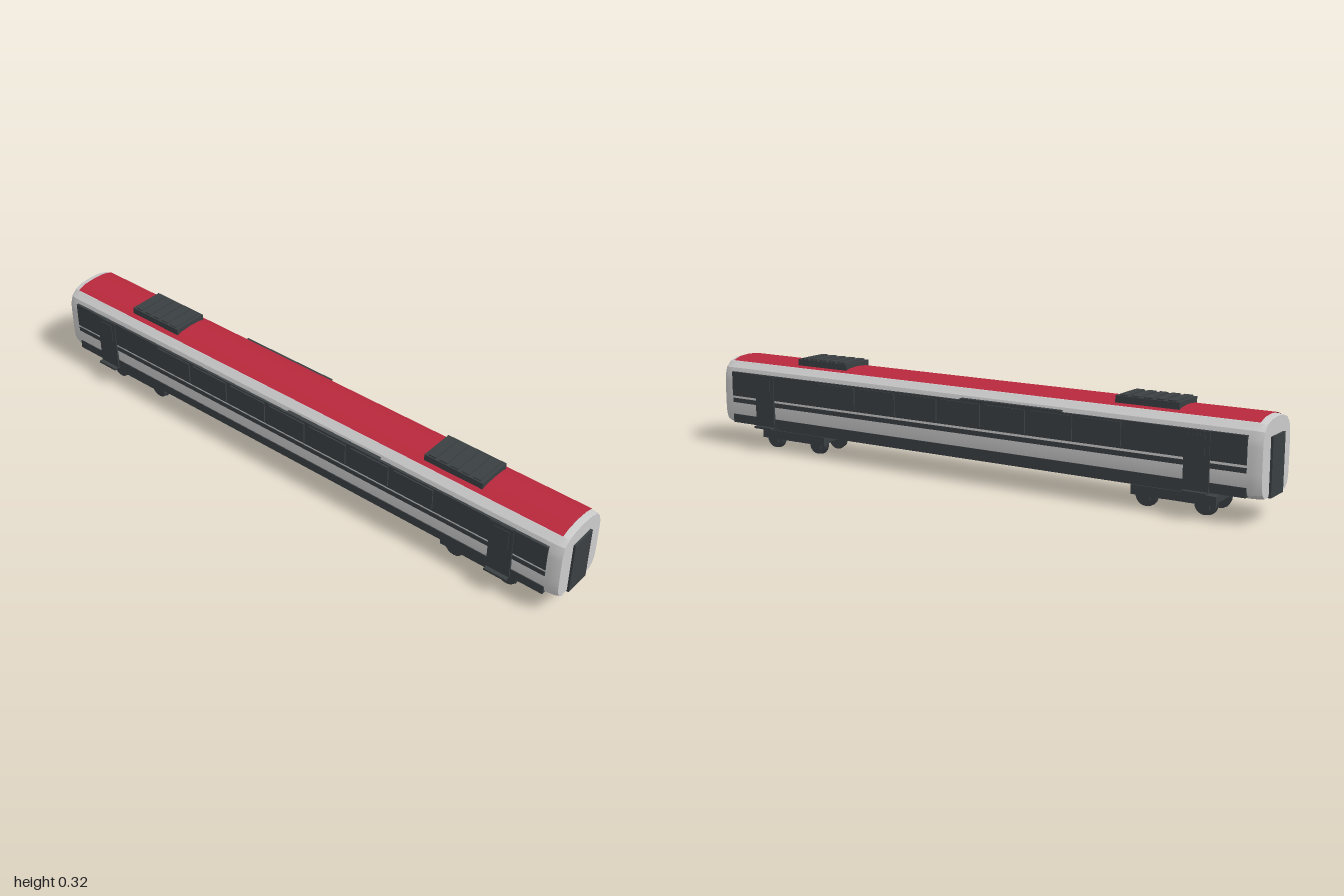
import * as THREE from 'three';
import { toCreasedNormals } from 'three/addons/utils/BufferGeometryUtils.js';

const light = new THREE.MeshStandardMaterial({ color: 0xcccccc });
const dark = new THREE.MeshStandardMaterial({ color: 0x3a3f42 });
const red = new THREE.MeshStandardMaterial({ color: 0xb8283c, side: THREE.DoubleSide });

// Skin cross-sections (arrays of [x, y, z]); optionally close the ring and cap the ends
function loft(sections, closed) {
  const n = sections[0].length, pos = sections.flat(2), idx = [];
  const count = closed ? n : n - 1;
  for (let s = 0; s < sections.length - 1; s++) {
    for (let j = 0; j < count; j++) {
      const k = (j + 1) % n, a = s * n, b = a + n;
      idx.push(a + j, b + j, b + k, a + j, b + k, a + k);
    }
  }
  if (closed) {
    const last = (sections.length - 1) * n, c = sections.length * n;
    pos.push(sections[0][0][0], 0.185, 0, sections.at(-1)[0][0], 0.185, 0);
    for (let j = 0; j < n; j++) {
      const k = (j + 1) % n;
      idx.push(c, j, k, c + 1, last + k, last + j);
    }
  }
  const g = new THREE.BufferGeometry();
  g.setAttribute('position', new THREE.Float32BufferAttribute(pos, 3));
  g.setIndex(idx);
  return toCreasedNormals(g, 0.45);
}

function add(parent, name, geometry, material) {
  const m = new THREE.Mesh(geometry, material);
  m.name = name;
  parent.add(m);
  return m;
}

// Box given by its limits on each axis
function box(parent, name, [x0, x1], [y0, y1], [z0, z1], material = dark) {
  const m = add(parent, name, new THREE.BoxGeometry(x1 - x0, y1 - y0, z1 - z0), material);
  m.position.set((x0 + x1) / 2, (y0 + y1) / 2, (z0 + z1) / 2);
  return m;
}

function group(parent, name) {
  const g = new THREE.Group();
  g.name = name;
  parent.add(g);
  return g;
}

// Half profile of the car body, [z, y] from the floor to the ridge
const half = [[0.08, 0.077], [0.097, 0.09], [0.104, 0.112], [0.106, 0.15], [0.106, 0.23],
  [0.104, 0.25], [0.096, 0.274], [0.076, 0.293], [0.044, 0.303], [0, 0.306]];
const mirror = (pts) => [...pts, ...pts.slice(0, -1).reverse().map(([z, y]) => [-z, y])];

function addSide(parent, sign) {
  const side = group(parent, sign > 0 ? 'frontSide' : 'backSide');
  if (sign < 0) side.rotation.y = Math.PI;

  // Long coloured bands
  box(side, 'windowBand', [-0.953, 0.95], [0.177, 0.261], [0.09, 0.109]);
  box(side, 'waistStripe', [-0.953, 0.95], [0.154, 0.169], [0.1, 0.108]);
  box(side, 'skirtStripe', [-0.953, 0.95], [0.083, 0.112], [0.085, 0.107]);

  // Raised windows
  for (let i = -3; i <= 3; i++) {
    const x = i * 0.163;
    box(side, 'window', [x - 0.072, x + 0.072], [0.183, 0.256], [0.105, 0.1135]);
  }

  // Entrance doors with their steps
  for (const x of [-0.805, 0.8]) {
    box(side, 'door', [x - 0.04, x + 0.04], [0.08, 0.259], [0.09, 0.1115]);
    box(side, 'doorWindow', [x - 0.026, x + 0.026], [0.183, 0.248], [0.105, 0.1135]);
    box(side, 'doorStep', [x - 0.038, x + 0.038], [0.077, 0.084], [0.112, 0.126]);
  }

  // Slim rail above the windows
  box(side, 'upperRail', [0, 0.36], [0.261, 0.267], [0.095, 0.113]);
}

function addBogie(parent, x) {
  const bogie = group(parent, 'bogie');
  bogie.position.x = x;
  box(bogie, 'bogieFrame', [-0.135, 0.135], [0.046, 0.066], [-0.07, 0.07]);
  box(bogie, 'bolster', [-0.04, 0.04], [0.06, 0.08], [-0.072, 0.072]);
  for (const s of [1, -1]) {
    const beam = box(bogie, 'sideBeam', [-0.135, 0.135], [0.037, 0.066], [0.066, 0.078]);
    beam.position.z *= s;
    for (const wx of [-0.094, 0.094]) {
      // Wheel tread and its inner flange
      const wheel = add(bogie, 'wheel', new THREE.CylinderGeometry(0.033, 0.033, 0.016, 20), dark);
      wheel.rotation.x = Math.PI / 2;
      wheel.position.set(wx, 0.036, s * 0.054);
      const flange = add(bogie, 'wheelFlange', new THREE.CylinderGeometry(0.036, 0.036, 0.004, 20), dark);
      flange.rotation.x = Math.PI / 2;
      flange.position.set(wx, 0.036, s * 0.047);
      const axleBox = box(bogie, 'axleBox', [wx - 0.016, wx + 0.016], [0.022, 0.045], [0.058, 0.067]);
      axleBox.position.z *= s;
    }
  }
  for (const wx of [-0.094, 0.094]) {
    const axle = add(bogie, 'axle', new THREE.CylinderGeometry(0.007, 0.007, 0.1, 10), dark);
    axle.rotation.x = Math.PI / 2;
    axle.position.set(wx, 0.036, 0);
  }
}

export function createModel() {
  const car = new THREE.Group();
  car.name = 'railwayCarriage';

  // Body shell, narrowed slightly at both ends
  const ring = mirror(half);
  const section = ([x, sz, sy]) => ring.map(([z, y]) => [x, 0.185 + (y - 0.185) * sy, z * sz]);
  const stations = [[-0.993, 0.94, 0.975], [-0.982, 0.975, 0.99], [-0.96, 1, 1],
    [0.96, 1, 1], [0.982, 0.975, 0.99], [0.993, 0.94, 0.975]];
  add(car, 'body', loft(stations.map(section), true), light);

  // Roof skin over the crown
  const crown = mirror(half.slice(-3));
  const roof = [-0.973, 0.973].map((x) => crown.map(([z, y]) => [x, y + 0.0018, z]));
  add(car, 'roof', loft(roof, false), red);

  // End doors
  box(car, 'endDoor', [0.985, 1], [0.076, 0.252], [-0.045, 0.045]);
  box(car, 'endDoor', [-1, -0.985], [0.076, 0.252], [-0.045, 0.045]);

  addSide(car, 1);
  addSide(car, -1);

  // Roof units with raised slats
  for (const x of [-0.617, 0.591]) {
    const unit = group(car, 'roofUnit');
    unit.position.x = x;
    box(unit, 'unitBase', [-0.103, 0.103], [0.3, 0.321], [-0.06, 0.06]);
    for (let i = -2; i <= 2; i++) {
      const c = i * 0.039;
      box(unit, 'slat', [c - 0.013, c + 0.013], [0.32, 0.325], [-0.055, 0.055]);
    }
  }

  // Underframe and running gear
  box(car, 'underframe', [-0.8, 0.8], [0.067, 0.08], [-0.077, 0.077]);
  addBogie(car, -0.715);
  addBogie(car, 0.711);
  return car;
}
